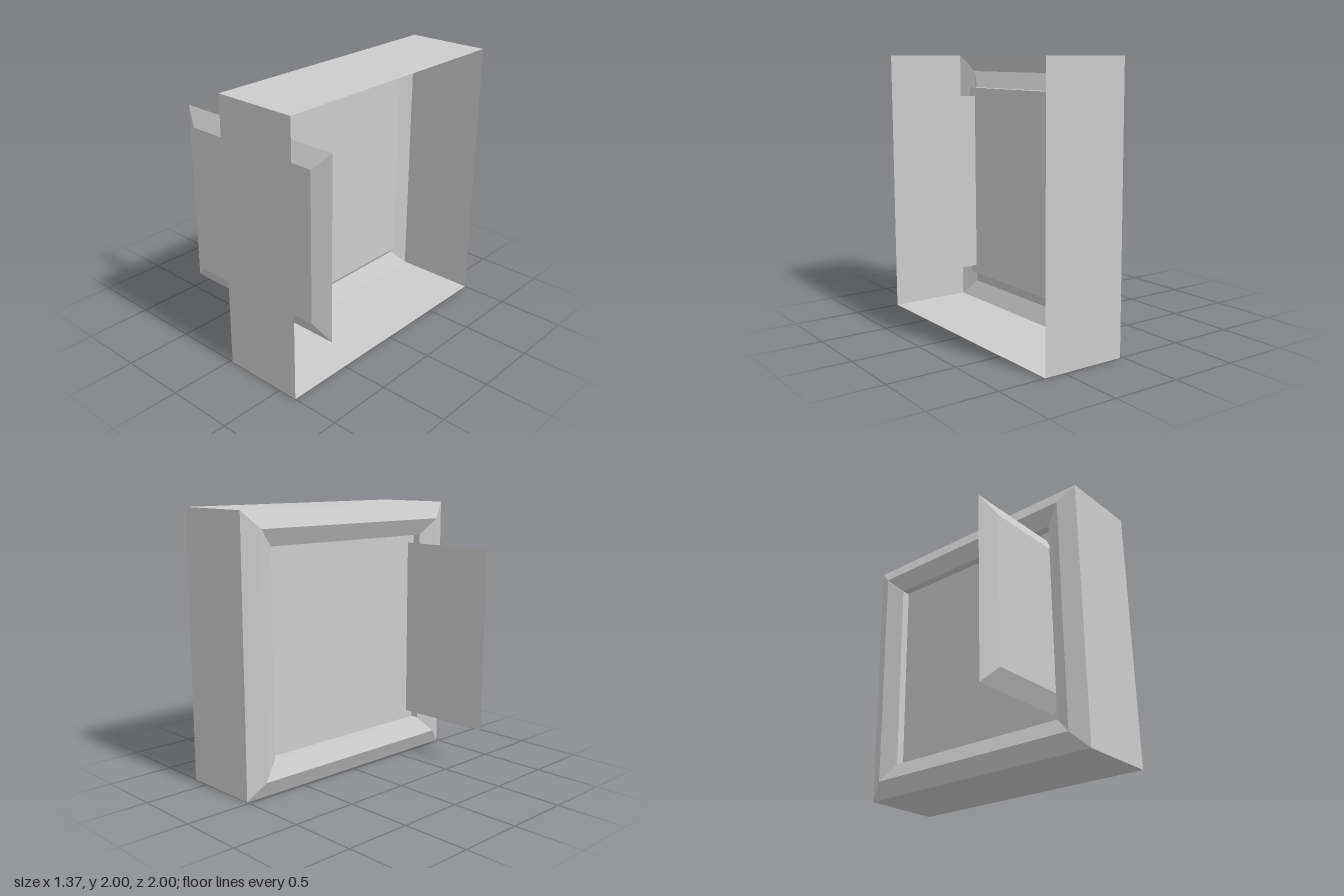
import * as THREE from 'three';

const material = new THREE.MeshStandardMaterial({
  color: 0xcccccc, flatShading: true, side: THREE.DoubleSide,
});

// Square part: a four-sided turned form with its flat sides aligned to the axes
function squareMesh(geometry, name) {
  const flat = geometry.rotateY(Math.PI / 4).toNonIndexed();
  flat.computeVertexNormals();
  const mesh = new THREE.Mesh(flat, material);
  mesh.name = name;
  mesh.position.y = 1;
  return mesh;
}

// Turns a profile of [half width, height along axis] into a square shell
function squareShell(profile, name) {
  const points = profile.map(([half, h]) => new THREE.Vector2(half * Math.SQRT2, h));
  const mesh = squareMesh(new THREE.LatheGeometry(points, 4), name);
  mesh.rotation.z = -Math.PI / 2; // axis along x
  return mesh;
}

export function createModel() {
  const group = new THREE.Group();
  group.name = 'panelBox';

  // Open box with a raised, bevelled rim on its -x side and a recess inside the rim
  group.add(squareShell([
    [0.75, 0.085], [0.75, 0.022], [0.875, -0.04], [1, 0.022], [1, 0.647],
  ], 'frame'));

  // Sheet closing the recess
  const panel = new THREE.Mesh(new THREE.PlaneGeometry(1.5, 1.5), material);
  panel.name = 'recessedPanel';
  panel.rotation.y = -Math.PI / 2;
  panel.position.set(0.085, 1, 0);
  group.add(panel);

  // Bevelled plate crossing the box, its narrow face to the front
  const plate = squareMesh(
    new THREE.CylinderGeometry(0.5625 * Math.SQRT2, 0.6865 * Math.SQRT2, 0.066, 4), 'crossPlate');
  plate.rotation.x = Math.PI / 2;
  plate.position.z = 0.715;
  group.add(plate);

  return group;
}
